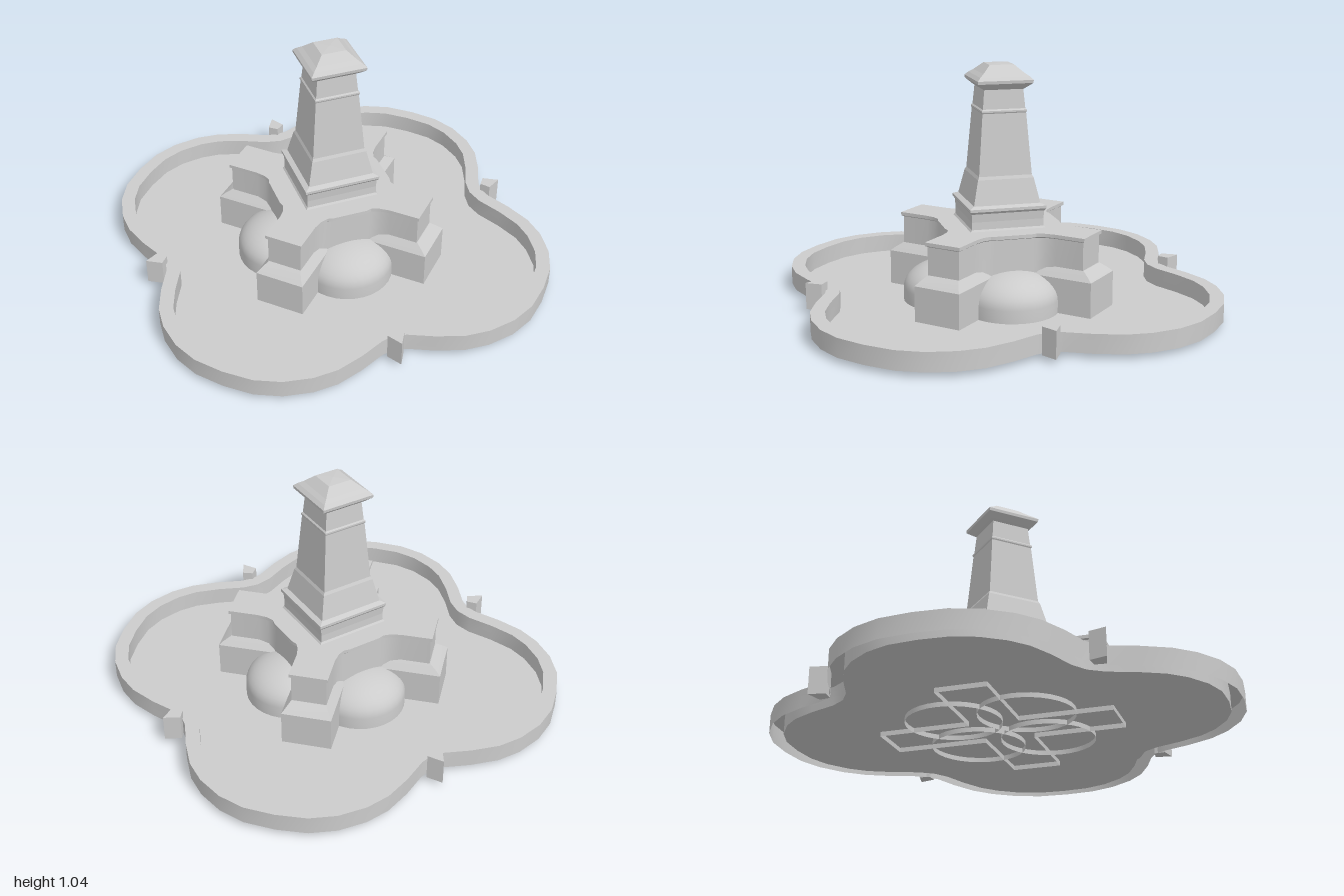
import * as THREE from 'three';
import { toCreasedNormals } from 'three/addons/utils/BufferGeometryUtils.js';

const material = new THREE.MeshStandardMaterial({ color: 0xcccccc, side: THREE.DoubleSide });

// Skin a stack of rings; each ring is { y, pts: [[x, z], ...] } running from +x towards +z
function loft(rings, capTop) {
  const pos = [];
  const put = (r, i) => pos.push(r.pts[i][0], r.y, r.pts[i][1]);
  const n = rings[0].pts.length;
  for (let k = 0; k < rings.length - 1; k++) {
    const a = rings[k], b = rings[k + 1];
    for (let i = 0; i < n; i++) {
      const j = (i + 1) % n;
      put(a, i); put(b, i); put(a, j);
      put(b, i); put(b, j); put(a, j);
    }
  }
  if (capTop) {
    const t = rings[rings.length - 1];
    for (let i = 0; i < n; i++) {
      pos.push(0, t.y, 0);
      put(t, (i + 1) % n); put(t, i);
    }
  }
  const g = new THREE.BufferGeometry();
  g.setAttribute('position', new THREE.Float32BufferAttribute(pos, 3));
  g.computeVertexNormals();
  return toCreasedNormals(g, 0.55);
}

// Mirror an eighth of an outline about the diagonal, then turn it round four times
function fourfold(eighth, onAxis, onDiagonal) {
  const back = eighth.map(([x, z]) => [z, x]).reverse();
  if (onDiagonal) back.shift();
  if (onAxis) back.pop();
  const quarter = [...eighth, ...back];
  const out = [];
  for (let q = 0; q < 4; q++) {
    for (const [x, z] of quarter) {
      out.push([[x, z], [-z, x], [-x, -z], [z, -x]][q]);
    }
  }
  return out;
}

// Move an outline inwards by d
function inset(pts, d) {
  const n = pts.length;
  return pts.map(([x, z], i) => {
    const p = pts[(i + n - 1) % n], q = pts[(i + 1) % n];
    const tx = q[0] - p[0], tz = q[1] - p[1], l = Math.hypot(tx, tz);
    return [x - (tz / l) * d, z + (tx / l) * d];
  });
}

export function createModel() {
  const model = new THREE.Group();
  const add = (name, geometry) => {
    const mesh = new THREE.Mesh(geometry, material);
    mesh.name = name;
    model.add(mesh);
    return mesh;
  };

  // Four-lobed basin: raised rim and floor
  const outer = fourfold([[1, 0], [0.99, 0.13], [0.95, 0.24], [0.88, 0.34], [0.8, 0.41],
    [0.69, 0.465], [0.58, 0.505], [0.535, 0.535]], true, true);
  const inner = inset(outer, 0.06);
  add('basinRim', loft([
    { y: 0.02, pts: outer }, { y: 0.1, pts: outer },
    { y: 0.1, pts: inner }, { y: 0.02, pts: inner },
  ], false));
  add('basinFloor', loft([{ y: 0.02, pts: inner }], true));

  // Pointed fins in the four notches of the rim
  const finShape = new THREE.Shape([[0.595, 0.595], [0.525, 0.577], [0.53, 0.53], [0.577, 0.525]]
    .map(([x, y]) => new THREE.Vector2(x, y)));
  for (let i = 0; i < 4; i++) {
    const fin = new THREE.ExtrudeGeometry(finShape, { depth: 0.115, bevelEnabled: false });
    fin.rotateX(-Math.PI / 2).translate(0, 0.02, 0).rotateY(i * Math.PI / 2);
    add('rimFin', fin);
  }

  // Domes between the arms
  const domeProfile = [new THREE.Vector2(0.2, 0)];
  for (let i = 0; i <= 10; i++) {
    const a = (i / 10) * Math.PI / 2;
    domeProfile.push(new THREE.Vector2(0.2 * Math.cos(a), 0.075 + 0.12 * Math.sin(a)));
  }
  for (const x of [-0.155, 0.155]) {
    for (const z of [-0.155, 0.155]) {
      add('cornerDome', toCreasedNormals(new THREE.LatheGeometry(domeProfile, 32), 0.6))
        .position.set(x, 0, z);
    }
  }

  // Cross-shaped plinth with sloped shoulders
  const cross = (len, w) => fourfold([[len, 0], [len, w], [w, w]], true, true);
  add('plinth', loft([
    { y: 0, pts: cross(0.5, 0.107) },
    { y: 0.172, pts: cross(0.5, 0.107) },
    { y: 0.188, pts: cross(0.482, 0.094) },
    { y: 0.21, pts: cross(0.45, 0.075) },
  ], true));

  // Upper arms, flaring into the central body, with a thin coping
  const arms = (o) => fourfold([[0.447 + o, 0], [0.447 + o, 0.075 + o], [0.32, 0.075 + o],
    [0.275, 0.082 + o], [0.245, 0.097 + o], [0.225 + o, 0.118 + o]], true, false);
  add('upperArms', loft([
    { y: 0.1, pts: arms(0) },
    { y: 0.33, pts: arms(0) },
    { y: 0.335, pts: arms(0.008) },
    { y: 0.35, pts: arms(0.008) },
  ], true));

  // Square tapering tower set cornerwise, with mouldings and a cap
  const towerProfile = [
    [0.222, 0.32], [0.233, 0.335], [0.233, 0.348], [0.222, 0.358], [0.22, 0.39], [0.224, 0.425],
    [0.235, 0.435], [0.235, 0.447], [0.205, 0.456], [0.172, 0.562], [0.163, 0.575],
    [0.134, 0.838], [0.138, 0.843], [0.138, 0.85], [0.13, 0.856], [0.12, 0.937],
    [0.135, 0.945], [0.168, 0.965], [0.17, 0.978], [0.15, 0.992], [0.125, 1.005],
    [0.075, 1.037], [0, 1.04],
  ].map(([r, y]) => new THREE.Vector2(r, y));
  const tower = new THREE.LatheGeometry(towerProfile, 4).toNonIndexed();
  tower.computeVertexNormals();
  add('tower', tower);

  return model;
}
